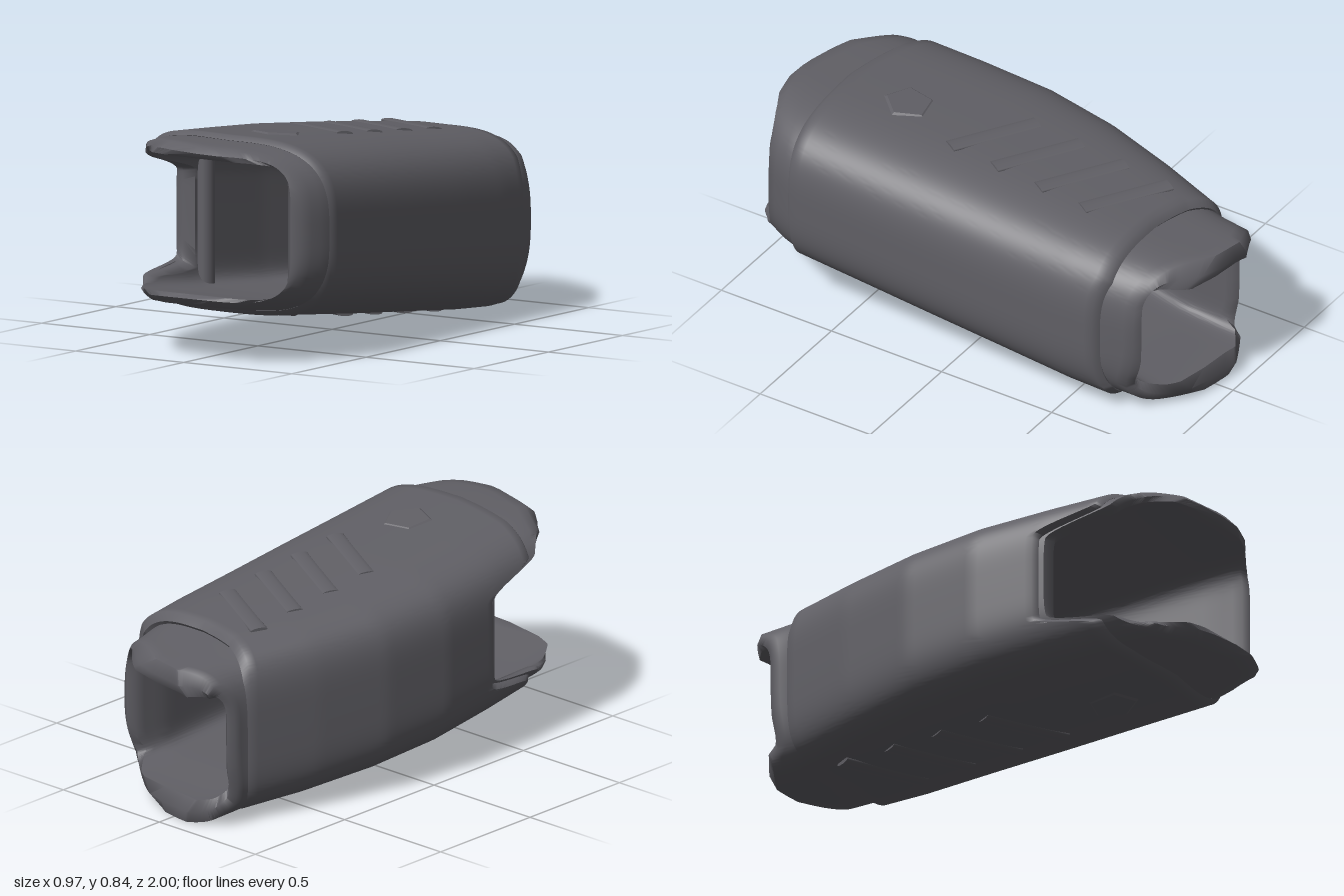
import * as THREE from 'three';
import { mergeVertices, toCreasedNormals } from 'three/addons/utils/BufferGeometryUtils.js';

const AROUND = 192, ALONG = 40;

// Piecewise-linear lookup: points are [position, value, value...]
function lookup(points, p, k = 1) {
  if (p <= points[0][0]) return points[0][k];
  for (let i = 1; i < points.length; i++) {
    const a = points[i - 1], b = points[i];
    if (p <= b[0]) return a[k] + (b[k] - a[k]) * (p - a[0]) / (b[0] - a[0]);
  }
  return points[points.length - 1][k];
}

// Sections along z: [z, left x, right x, bottom y, top y]
const SLEEVE = [
  [-0.8, -0.27, 0.40, 0.012, 0.70], [-0.68, -0.31, 0.44, 0.018, 0.715], [-0.5, -0.37, 0.455, 0.03, 0.735],
  [-0.2, -0.45, 0.465, 0.06, 0.765], [0.1, -0.485, 0.472, 0.09, 0.795], [0.4, -0.475, 0.478, 0.125, 0.82],
  [0.7, -0.452, 0.484, 0.16, 0.845], [0.85, -0.43, 0.475, 0.18, 0.845],
];
const LINER = [
  [-1, -0.25, 0.36, 0.0, 0.64], [-0.8, -0.265, 0.375, 0.01, 0.66], [-0.65, -0.3, 0.405, 0.03, 0.68],
  [0, -0.46, 0.45, 0.1, 0.76], [0.7, -0.44, 0.48, 0.178, 0.828], [0.78, -0.425, 0.455, 0.188, 0.828],
  [0.86, -0.41, 0.415, 0.2, 0.828], [1, -0.38, 0.4, 0.235, 0.815],
];
const CAVITY = [
  [-1, -0.215, 0.33, 0.105, 0.535], [-0.85, -0.215, 0.33, 0.11, 0.585], [-0.65, -0.21, 0.295, 0.13, 0.565],
  [0, -0.32, 0.325, 0.16, 0.67], [0.4, -0.365, 0.345, 0.19, 0.72], [0.7, -0.37, 0.365, 0.225, 0.765],
  [1, -0.36, 0.37, 0.268, 0.785],
];
const LINER_INSET = LINER.map(([z, l, r, b, t]) => [z, l + 0.015, r - 0.015, b + 0.015, t - 0.015]);
// Corner squareness: [-x side, +x side]
const OUTER_CORNERS = [4.3, 3.3], CAVITY_CORNERS = [9, 9];

// Rounded-rectangle section point at angle a
function sectionPoint(table, corners, a, z) {
  const [l, r, b, t] = [1, 2, 3, 4].map(k => lookup(table, z, k));
  const n = Math.cos(a) < 0 ? corners[0] : corners[1];
  const pow = v => Math.sign(v) * Math.abs(v) ** (2 / n);
  return [(l + r) / 2 + (r - l) / 2 * pow(Math.cos(a)), (b + t) / 2 + (t - b) / 2 * pow(Math.sin(a)), z];
}

// Depth of the cut-out in the -x wall, between the front lips
function notch(x, up) {
  if (x > -0.3) return 0;
  return 0.24 * THREE.MathUtils.smoothstep(-Math.abs(up), -0.52, -0.22);
}

// Hollow shell with rounded rims; back and front give the edge z for each x
function shell(outer, inner, innerCorners, back, front) {
  const pos = [], index = [], rows = 2 * (ALONG + 1) + 2;
  for (let i = 0; i < AROUND; i++) {
    const a = i / AROUND * Math.PI * 2, up = Math.sin(a);
    const zb = back(sectionPoint(outer, OUTER_CORNERS, a, -0.85)[0], up);
    const zf = front(sectionPoint(outer, OUTER_CORNERS, a, 0.8)[0], up);
    const zAt = j => zb + 0.02 + (zf - zb - 0.04) * j / ALONG;
    const rim = (z) => {
      const p = sectionPoint(outer, OUTER_CORNERS, a, z), q = sectionPoint(inner, innerCorners, a, z);
      pos.push((p[0] + q[0]) / 2, (p[1] + q[1]) / 2, z);
    };
    for (let j = 0; j <= ALONG; j++) pos.push(...sectionPoint(outer, OUTER_CORNERS, a, zAt(j)));
    rim(zf);
    for (let j = ALONG; j >= 0; j--) pos.push(...sectionPoint(inner, innerCorners, a, zAt(j)));
    rim(zb);
  }
  for (let i = 0; i < AROUND; i++) {
    for (let j = 0; j < rows; j++) {
      const i2 = (i + 1) % AROUND, j2 = (j + 1) % rows;
      const A = i * rows + j, B = i2 * rows + j, C = i2 * rows + j2, D = i * rows + j2;
      index.push(A, B, C, A, C, D);
    }
  }
  const g = new THREE.BufferGeometry();
  g.setAttribute('position', new THREE.Float32BufferAttribute(pos, 3));
  g.setIndex(index);
  return toCreasedNormals(mergeVertices(g), 1.0);
}

export function createModel() {
  const model = new THREE.Group();
  model.name = 'hollowSleeve';
  const grey = new THREE.MeshStandardMaterial({ color: 0x605f65 });
  grey.name = 'darkGrey';
  const add = (name, geometry, parent = model) => {
    const m = new THREE.Mesh(geometry, grey);
    m.name = name;
    parent.add(m);
    return m;
  };

  // Outer sleeve
  const sleeveBack = [[-0.27, -0.8], [-0.1, -0.73], [0.05, -0.695], [0.36, -0.69], [0.42, -0.65]];
  const sleeveFront = [[-0.45, 0.61], [-0.25, 0.68], [0, 0.73], [0.48, 0.72]];
  add('outerSleeve', shell(SLEEVE, LINER_INSET, OUTER_CORNERS,
    x => lookup(sleeveBack, x), (x, up) => lookup(sleeveFront, x) - notch(x, up)));

  // Inner liner with protruding lips at both ends
  const lipBack = [[-0.265, -0.87], [-0.22, -0.95], [-0.08, -1], [0.05, -0.98], [0.2, -0.89], [0.36, -0.81]];
  const lipFront = [[-0.43, 0.64], [-0.39, 0.7], [-0.33, 0.81], [-0.18, 0.93], [0.05, 1], [0.2, 0.97],
    [0.33, 0.91], [0.42, 0.86], [0.45, 0.85]];
  add('innerLiner', shell(LINER, CAVITY, CAVITY_CORNERS,
    (x, up) => lookup(lipBack, x) + (up < 0 ? 0.05 * Math.min(1, -up * 2) : 0),
    (x, up) => lookup(lipFront, x) - notch(x, up) - (up > 0 ? 0.06 * up * up : 0)));

  // Upright post inside the open side
  const post = add('innerPost', new THREE.CylinderGeometry(0.04, 0.04, 0.54, 16));
  post.position.set(-0.355, 0.45, 0.34);

  // Slanted grip ridges and five-sided pads, above and below
  for (const [label, column, side] of [['top', 4, 1], ['bottom', 3, -1]]) {
    const grip = new THREE.Group();
    grip.name = label + 'Grip';
    model.add(grip);
    const place = (mesh, x, z, turn) => {
      mesh.position.set(x, lookup(SLEEVE, z, column) - side * 0.004, z);
      mesh.rotation.set(-0.1, turn, 0);
    };
    for (let i = 0; i < 4; i++) {
      const ridge = add(label + 'Ridge', new THREE.CylinderGeometry(0.035, 0.035, 0.38, 12), grip);
      ridge.geometry.rotateZ(Math.PI / 2).scale(1, 0.25, 1);
      place(ridge, 0.01, -0.52 + i * 0.2, -0.5);
    }
    const pad = add(label + 'Pad', toCreasedNormals(new THREE.CylinderGeometry(
      side > 0 ? 0.09 : 0.12, side > 0 ? 0.12 : 0.09, 0.018, 5), 0.3), grip);
    place(pad, 0.05, 0.44, 0.2);
  }
  return model;
}
